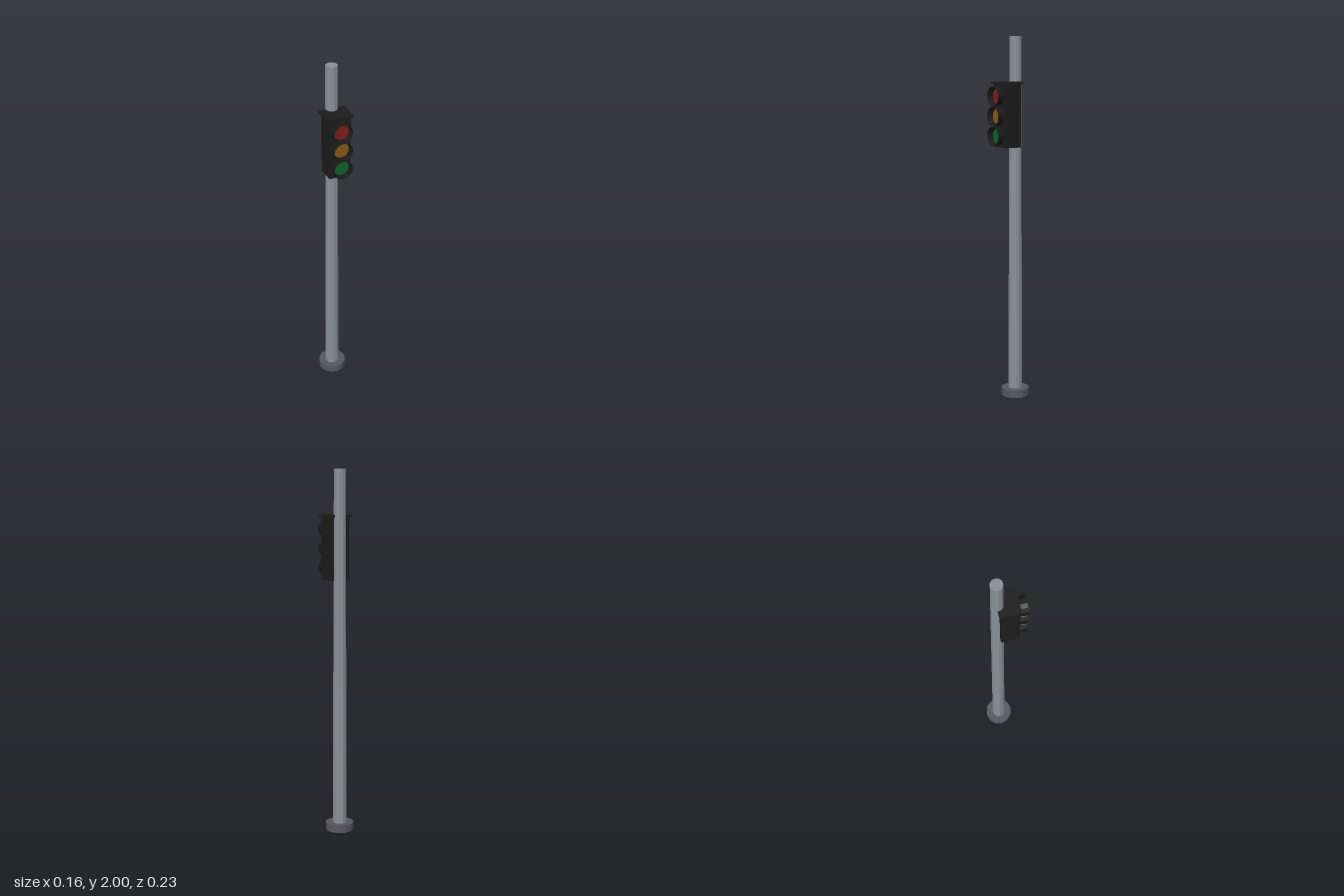
import * as THREE from 'three';

const mat = (color, side = THREE.FrontSide) =>
  new THREE.MeshStandardMaterial({ color, side, flatShading: true });

function add(parent, name, geometry, material, x, y, z) {
  const mesh = new THREE.Mesh(geometry, material);
  mesh.name = name;
  mesh.position.set(x, y, z);
  parent.add(mesh);
  return mesh;
}

export function createModel() {
  const model = new THREE.Group();
  model.name = 'trafficLight';
  const poleZ = -0.037;
  const black = mat(0x1c1c1c);
  const visorMat = mat(0x1a1a1a, THREE.DoubleSide);

  // Foot and slightly tapered pole
  add(model, 'base', new THREE.CylinderGeometry(0.078, 0.078, 0.042, 12), mat(0x555860), 0, 0.021, poleZ);
  add(model, 'pole', new THREE.CylinderGeometry(0.032, 0.039, 1.998, 12), mat(0x8a9095), 0, 1.001, poleZ);

  // Signal head: box housing with an overhanging cap
  const head = new THREE.Group();
  head.name = 'signalHead';
  model.add(head);
  add(head, 'housing', new THREE.BoxGeometry(0.12, 0.342, 0.098), black, 0, 1.576, 0.018);
  add(head, 'cap', new THREE.BoxGeometry(0.142, 0.013, 0.112), black, 0, 1.751, 0.0155);

  // Three lamps, each a coloured lens inside a flared round visor
  const lamps = [['red', 0x7d1e20], ['amber', 0x8a5a16], ['green', 0x12602f]];
  lamps.forEach(([label, color], i) => {
    const y = 1.68 - i * 0.106;
    const lens = new THREE.CylinderGeometry(0.042, 0.042, 0.022, 16).rotateX(Math.PI / 2);
    add(head, label + 'Lens', lens, mat(color), 0, y, 0.072);
    const visor = new THREE.CylinderGeometry(0.053, 0.049, 0.04, 14, 1, true, Math.PI / 2).rotateX(Math.PI / 2);
    add(head, label + 'Visor', visor, visorMat, 0, y, 0.092);
  });

  return model;
}
